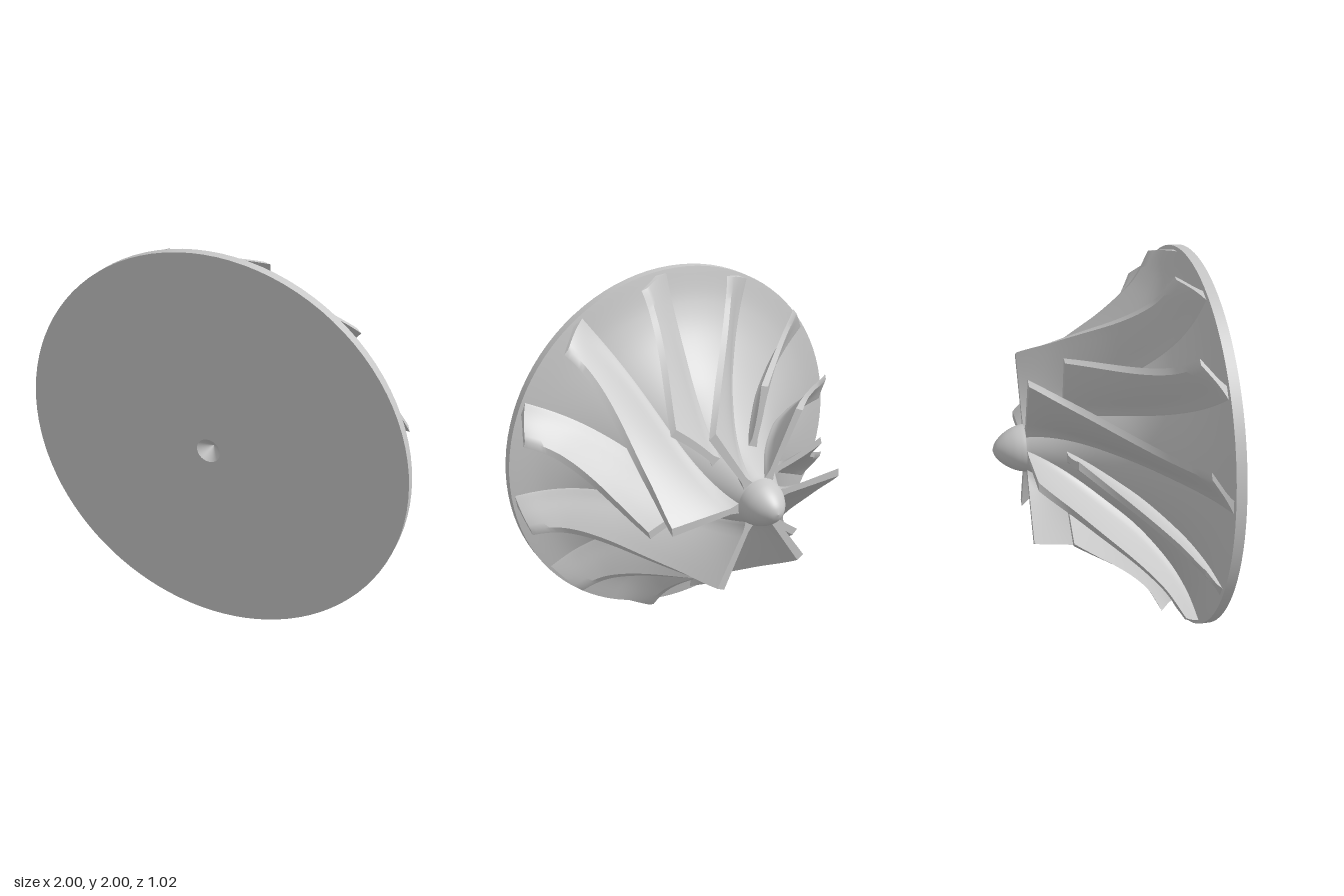
import * as THREE from 'three';
import { toCreasedNormals } from 'three/addons/utils/BufferGeometryUtils.js';

const metal = new THREE.MeshStandardMaterial({ color: 0xc8c8c8 });
metal.name = 'cast metal';

const curve = (pts) => new THREE.SplineCurve(pts.map(([r, z]) => new THREE.Vector2(r, z)));
const { lerp, degToRad } = THREE.MathUtils;

// Meridional profiles as [radius, z]
const nose = curve([[0, -0.513], [0.04, -0.497], [0.08, -0.457], [0.108, -0.41], [0.121, -0.37], [0.125, -0.345]]);
const hub = curve([[0.125, -0.345], [0.22, -0.165], [0.33, 0], [0.475, 0.18], [0.66, 0.33], [0.83, 0.415], [1, 0.46]]);
const shroud = curve([[0.502, -0.345], [0.54, -0.16], [0.665, 0.085], [0.815, 0.26], [0.975, 0.357]]);

// Solid of revolution about the z axis
function turned(name, points) {
  const geo = new THREE.LatheGeometry(points, 96);
  geo.rotateX(Math.PI / 2);
  const mesh = new THREE.Mesh(geo, metal);
  mesh.name = name;
  return mesh;
}
const line = (...pts) => pts.map(([r, z]) => new THREE.Vector2(r, z));

// Swept blade: a ruled sheet between hub and shroud, wrapped round the axis.
// h0 and s0 are where the leading edge starts along the hub and the shroud.
function bladeGeometry(h0, s0) {
  const nu = 36, nv = 10, ring = 2 * (nv + 1);
  const pos = [], index = [];
  for (let i = 0; i <= nu; i++) {
    const u = i / nu;
    const th = lerp(h0, 0.985, u), ts = lerp(s0, 1, u);
    const a = hub.getPointAt(th), b = shroud.getPointAt(ts);
    const wrapA = 58 * (1 - th) ** 3, wrapB = 9 + 49 * (1 - ts) ** 2;
    const span = a.distanceTo(b);
    for (let k = 0; k < ring; k++) {
      const side = k <= nv ? -1 : 1;
      const v = lerp(-0.05, 1, ((k <= nv ? k : ring - 1 - k) / nv) ** 1.5);
      const r = lerp(a.x, b.x, v), z = lerp(a.y, b.y, v);
      // Half thickness, flared into a small fillet at the root
      const fillet = 0.016 * Math.max(0, 1 - Math.max(0, v * span) / 0.05) ** 2;
      const half = 0.016 * (1 + 0.4 * (1 - ts) * v) + fillet;
      const angle = -degToRad(lerp(wrapA, wrapB, v)) + side * half / r;
      pos.push(r * Math.cos(angle), r * Math.sin(angle), z);
    }
  }
  const quad = (p, q, r, s) => index.push(p, q, r, p, r, s);
  for (let i = 0; i < nu; i++) {
    for (let k = 0; k < ring; k++) {
      const n = (k + 1) % ring, o = i * ring;
      quad(o + k, o + n, o + ring + n, o + ring + k);
    }
  }
  // Leading and trailing edge faces
  const e = nu * ring;
  for (let k = 0; k < nv; k++) {
    const m = ring - 1 - k;
    quad(k, m, m - 1, k + 1);
    quad(e + k, e + k + 1, e + m - 1, e + m);
  }
  const geo = new THREE.BufferGeometry();
  geo.setAttribute('position', new THREE.Float32BufferAttribute(pos, 3));
  geo.setIndex(index);
  return toCreasedNormals(geo, degToRad(40));
}

export function createModel() {
  const model = new THREE.Group();
  model.name = 'impeller';
  const wheel = new THREE.Group();
  wheel.name = 'wheel';
  wheel.position.y = 1;
  model.add(wheel);

  // Hub with its rounded nose, flaring out to the rim
  wheel.add(turned('hub', [...nose.getPoints(20), ...hub.getPoints(40).slice(1)]));

  // Backing disc with a conical centre dimple
  wheel.add(
    turned('discRim', line([1, 0.46], [1, 0.51])),
    turned('discFace', line([1, 0.51], [0.062, 0.51])),
    turned('centreDimple', line([0.062, 0.51], [0, 0.45])),
  );

  // Six full blades alternating with six shorter splitter blades
  const full = bladeGeometry(0, 0);
  const splitter = bladeGeometry(0.17, 0.22);
  for (let i = 0; i < 12; i++) {
    const isFull = i % 2 === 0;
    const blade = new THREE.Mesh(isFull ? full : splitter, metal);
    blade.name = (isFull ? 'fullBlade' : 'splitterBlade') + (Math.floor(i / 2) + 1);
    blade.rotation.z = degToRad(55 + 30 * i);
    wheel.add(blade);
  }
  return model;
}
